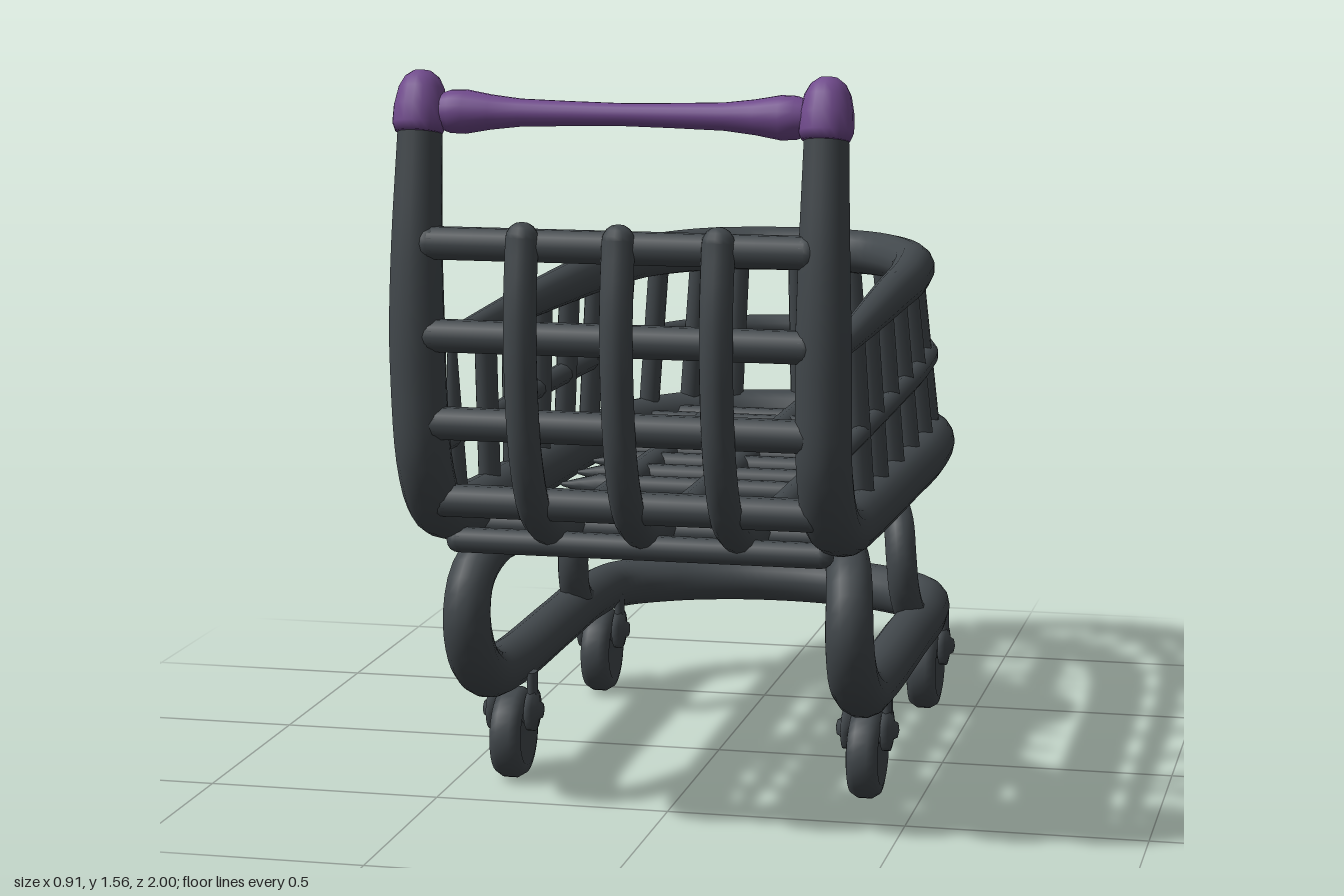
import * as THREE from 'three';

const steel = new THREE.MeshStandardMaterial({ color: 0x42484c });
steel.name = 'dark steel';
const purple = new THREE.MeshStandardMaterial({ color: 0x704a8c });
purple.name = 'purple grip';

const V = (x, y, z) => new THREE.Vector3(x, y, z);

// Adds the mirrored half (-x) to a path whose last point lies on x = 0
function mirrored(half, skipFirst = false) {
  const other = half.slice(0, -1).reverse().map(([x, y, z]) => [-x, y, z]);
  if (skipFirst) other.pop();
  return [...half, ...other];
}

const makeCurve = (pts, closed = false) =>
  new THREE.CatmullRomCurve3(pts.map((p) => V(...p)), closed, 'centripetal');

// Round tube along a curve; radius(t) sets the thickness, ends are rounded off
function tube(name, curve, radius, segments = 64, sides = 12) {
  const r = typeof radius === 'function' ? radius : () => radius;
  const geo = new THREE.TubeGeometry(curve, segments, 1, sides, curve.closed === true);
  const pos = geo.attributes.position;
  const v = new THREE.Vector3();
  for (let i = 0; i <= segments; i++) {
    const c = curve.getPointAt(i / segments);
    for (let j = 0; j <= sides; j++) {
      const k = i * (sides + 1) + j;
      v.fromBufferAttribute(pos, k).sub(c).multiplyScalar(r(i / segments)).add(c);
      pos.setXYZ(k, v.x, v.y, v.z);
    }
  }
  const group = new THREE.Group();
  group.name = name;
  const body = new THREE.Mesh(geo, steel);
  body.name = name + 'Tube';
  group.add(body);
  if (curve.closed !== true) {
    for (const t of [0, 1]) {
      const cap = new THREE.Mesh(new THREE.SphereGeometry(r(t), sides, 8), steel);
      cap.name = name + 'End';
      cap.position.copy(curve.getPointAt(t));
      group.add(cap);
    }
  }
  return group;
}

const bar = (name, a, b, radius, segments = 8) =>
  tube(name, new THREE.LineCurve3(V(...a), V(...b)), radius, segments, 10);

// Point with the given z on the +x half of a U-shaped rail
function pointAtZ(curve, z) {
  let best = null;
  for (let i = 0; i <= 400; i++) {
    const p = curve.getPoint((i / 400) * 0.5);
    if (!best || Math.abs(p.z - z) < Math.abs(best.z - z)) best = p;
  }
  return best;
}

function makeWheel(x, z) {
  const wheel = new THREE.Group();
  wheel.name = 'wheel';
  const profile = [[0, -0.025], [0.06, -0.025], [0.07, -0.034], [0.088, -0.03], [0.098, -0.014],
    [0.098, 0.014], [0.088, 0.03], [0.07, 0.034], [0.06, 0.025], [0, 0.025]];
  const tyre = new THREE.Mesh(
    new THREE.LatheGeometry(profile.map((p) => new THREE.Vector2(...p)), 28), steel);
  tyre.name = 'tyre';
  tyre.rotation.z = Math.PI / 2;
  tyre.position.y = 0.1;
  tyre.scale.x = 1;
  // Bracket with pointed caps on both sides
  const hubProfile = [[0, -0.068], [0.016, -0.064], [0.02, -0.056], [0.045, -0.05], [0.045, -0.034],
    [0.03, -0.03], [0.03, 0.03], [0.045, 0.034], [0.045, 0.05], [0.02, 0.056], [0.016, 0.064], [0, 0.068]];
  const hub = new THREE.Mesh(
    new THREE.LatheGeometry(hubProfile.map((p) => new THREE.Vector2(...p)), 18), steel);
  hub.name = 'hub';
  hub.rotation.z = Math.PI / 2;
  hub.position.y = 0.15;
  wheel.add(tyre, hub);
  for (const s of [-1, 1]) {
    const fork = new THREE.Mesh(new THREE.CylinderGeometry(0.022, 0.022, 0.09, 10), steel);
    fork.name = 'fork';
    fork.scale.x = 0.5;
    fork.position.set(s * 0.042, 0.19, 0);
    wheel.add(fork);
  }
  wheel.position.set(x, 0, z);
  return wheel;
}

export function createModel() {
  const cart = new THREE.Group();
  cart.name = 'shoppingCart';

  // Main frame: posts running down and round the basket floor
  const frame = makeCurve(mirrored([
    [0.4, 1.47, 0.875], [0.402, 1.2, 0.905], [0.402, 0.98, 0.905], [0.4, 0.8, 0.88], [0.4, 0.7, 0.81],
    [0.4, 0.655, 0.68], [0.398, 0.64, 0.5], [0.396, 0.625, 0], [0.392, 0.615, -0.4], [0.36, 0.61, -0.65],
    [0.27, 0.608, -0.81], [0.15, 0.605, -0.895], [0, 0.605, -0.92]]));
  cart.add(tube('mainFrame', frame, (t) => 0.055 - 0.012 * Math.max(0, Math.abs(t - 0.5) * 2 - 0.85) / 0.15, 140, 16));

  // Basket rim, thinning towards the posts
  const rim = makeCurve(mirrored([
    [0.395, 1.015, 0.86], [0.385, 1.017, 0.5], [0.37, 1.02, 0], [0.352, 1.017, -0.4], [0.315, 1.015, -0.64],
    [0.22, 1.013, -0.8], [0.11, 1.012, -0.86], [0, 1.012, -0.872]]));
  cart.add(tube('basketRim', rim, (t) => 0.052 - 0.036 * Math.pow(Math.abs(t - 0.5) * 2, 2), 100, 14));

  // Middle rail
  const rail = makeCurve(mirrored([
    [0.4, 0.808, 0.86], [0.395, 0.81, 0.4], [0.39, 0.812, 0], [0.378, 0.81, -0.4], [0.35, 0.81, -0.66],
    [0.26, 0.81, -0.85], [0.14, 0.81, -0.945], [0, 0.81, -0.973]]));
  cart.add(tube('middleRail', rail, (t) => 0.027 - 0.011 * Math.pow(Math.abs(t - 0.5) * 2, 2), 100, 10));

  // Upright side bars between floor frame and rim
  const uprights = [[0.71, 0.66], [0.49, 0.43], [0.3, 0.24], [0.09, 0.04], [-0.12, -0.17],
    [-0.33, -0.38], [-0.53, -0.57], [-0.69, -0.72], [-0.8, -0.825], [-0.852, -0.89]];
  uprights.forEach(([zTop, zLow], i) => {
    const a = pointAtZ(frame, zLow), b = pointAtZ(rim, zTop);
    const r = i === 0 ? (t) => 0.027 - 0.018 * t : 0.024;
    for (const s of [-1, 1]) cart.add(bar('sideUpright', [s * a.x, a.y, a.z], [s * b.x, b.y, b.z], r));
  });
  cart.add(bar('backUpright', [0, 0.605, -0.93], [0, 1.01, -0.885], 0.024));

  // Long bars: up the front gate, then along the floor
  for (const x of [-0.18, 0.01, 0.205]) {
    const zEnd = Math.abs(x) < 0.1 ? -0.9 : -0.84;
    cart.add(tube('longBar', makeCurve([[x, 1.25, 0.942], [x, 1.12, 0.962], [x, 0.98, 0.96], [x, 0.82, 0.93],
      [x, 0.71, 0.87], [x, 0.65, 0.77], [x, 0.625, 0.6], [x, 0.615, 0], [x, 0.61, zEnd]]), 0.033, 60, 12));
  }

  // Gate cross bars
  for (const [y, z] of [[1.235, 0.92], [1.055, 0.925], [0.88, 0.91], [0.715, 0.85]]) {
    cart.add(bar('gateCrossBar', [-0.37, y, z], [0.37, y, z], 0.033));
  }

  // Floor cross bars, pointed at the ends towards the back
  for (const z of [0.75, 0.58, 0.45, 0.32, 0.14, 0, -0.14, -0.27, -0.41, -0.53, -0.67, -0.76]) {
    const pointed = z < 0.3 && z > -0.6;
    const half = pointed ? 0.315 : z > 0 ? 0.37 : z > -0.7 ? 0.33 : 0.28;
    const r = pointed ? (t) => 0.005 + 0.021 * Math.min(1, (1 - Math.abs(2 * t - 1)) * 4) : 0.026;
    cart.add(bar('floorCrossBar', [-half, 0.615, z], [half, 0.615, z], r, 16));
  }

  // Undercarriage loop: front arch, curved legs and lower rail
  const loop = makeCurve(mirrored([
    [0, 0.553, 0.12], [0.13, 0.556, 0.145], [0.25, 0.56, 0.23], [0.33, 0.56, 0.35], [0.375, 0.55, 0.49],
    [0.395, 0.5, 0.575], [0.4, 0.42, 0.6], [0.4, 0.33, 0.56], [0.4, 0.27, 0.46], [0.398, 0.25, 0.3],
    [0.397, 0.247, -0.1], [0.395, 0.245, -0.38], [0.365, 0.243, -0.54], [0.25, 0.241, -0.64],
    [0.12, 0.24, -0.69], [0, 0.24, -0.702]], true), true);
  cart.add(tube('undercarriage', loop, (t) => 0.034 + 0.02 * Math.min(1, Math.min(t, 1 - t) * 5), 180, 14));

  // Rear hoop rising from the lower rail
  const hoop = makeCurve(mirrored([
    [0.39, 0.255, -0.31], [0.385, 0.29, -0.23], [0.38, 0.35, -0.188], [0.375, 0.42, -0.18],
    [0.362, 0.49, -0.215], [0.32, 0.53, -0.31], [0.24, 0.535, -0.41], [0.12, 0.533, -0.49], [0, 0.532, -0.512]]));
  cart.add(tube('rearHoop', hoop, 0.035, 90, 12));

  // Wheels
  for (const x of [-0.386, 0.386]) for (const z of [0.3, -0.475]) cart.add(makeWheel(x, z));

  // Handle with flared ends
  const side = [[0.024, 0.1], [0.027, 0.2], [0.034, 0.26], [0.043, 0.31], [0.042, 0.34], [0.032, 0.37]];
  const profile = [...side.map(([r, y]) => [r, -y]).reverse(), [0.022, 0], ...side];
  const grip = new THREE.Mesh(
    new THREE.LatheGeometry(profile.map((p) => new THREE.Vector2(...p)), 18), purple);
  grip.name = 'handleGrip';
  grip.rotation.z = Math.PI / 2;
  grip.position.set(0, 1.485, 0.865);
  cart.add(grip);

  // Handle caps on top of the posts
  const capProfile = [[0, -0.055], [0.046, -0.052], [0.053, -0.035], [0.052, 0], [0.045, 0.035],
    [0.034, 0.056], [0.018, 0.068], [0, 0.071]].map((p) => new THREE.Vector2(...p));
  for (const s of [-1, 1]) {
    const cap = new THREE.Mesh(new THREE.LatheGeometry(capProfile, 18), purple);
    cap.name = 'handleCap';
    cap.position.set(s * 0.4, 1.495, 0.872);
    cap.rotation.x = -0.25;
    cart.add(cap);
  }
  return cart;
}
